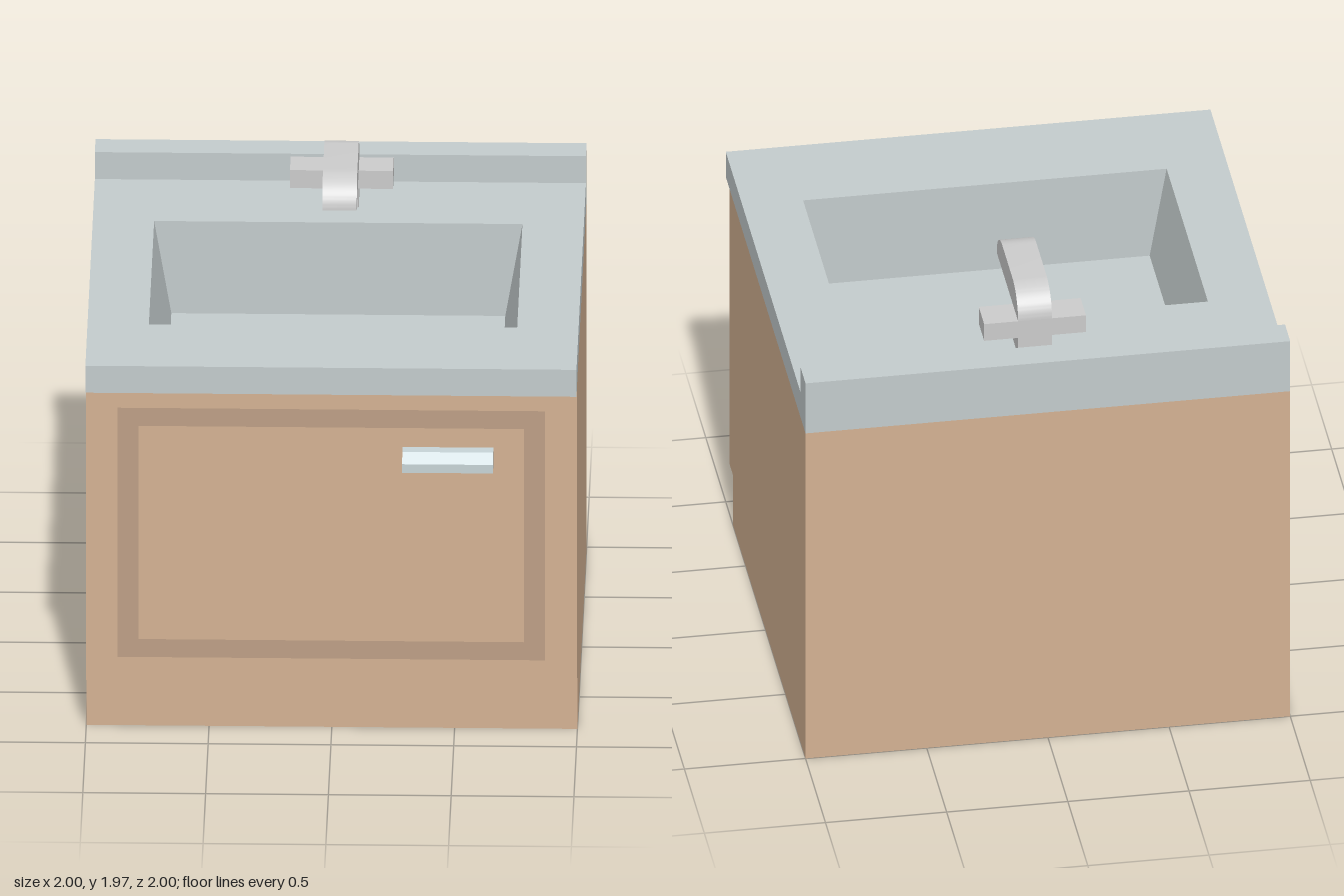
import * as THREE from 'three';
import { toCreasedNormals } from 'three/addons/utils/BufferGeometryUtils.js';

const paint = (color) => new THREE.MeshStandardMaterial({ color });
const wood = paint(0xd3b192);
const trim = paint(0xbd9e85);
const stone = paint(0xc3cbcc);
const metal = paint(0xd6dad8);
const handleMetal = paint(0xc6d3d6);

function part(name, geometry, material) {
  const mesh = new THREE.Mesh(geometry, material);
  mesh.name = name;
  return mesh;
}

// Side outline given as [z, y] points, swept from x0 to x1
function sweep(outline, x0, x1) {
  const shape = outline instanceof THREE.Shape
    ? outline
    : new THREE.Shape(outline.map(([z, y]) => new THREE.Vector2(-z, y)));
  return new THREE.ExtrudeGeometry(shape, { depth: x1 - x0, bevelEnabled: false, curveSegments: 12 })
    .rotateY(Math.PI / 2).translate(x0, 0, 0);
}

// Leaves out the triangles for which drop(corners) is true
function openUp(geometry, drop) {
  const p = geometry.attributes.position;
  const kept = [];
  for (let i = 0; i < p.count; i += 3) {
    const corners = [0, 1, 2].map((k) => new THREE.Vector3().fromBufferAttribute(p, i + k));
    if (!drop(corners)) corners.forEach((c) => kept.push(c));
  }
  const open = new THREE.BufferGeometry().setFromPoints(kept);
  open.computeVertexNormals();
  return open;
}
const level = (corners, y) => corners.every((c) => Math.abs(c.y - y) < 1e-3);

function rect(x0, y0, x1, y1, Type = THREE.Shape) {
  return new Type([[x0, y0], [x1, y0], [x1, y1], [x0, y1]].map(([x, y]) => new THREE.Vector2(x, y)));
}

// Flat rectangle with a rectangular opening
function ring(outer, inner) {
  const shape = rect(...outer);
  shape.holes.push(rect(...inner, THREE.Path));
  return new THREE.ShapeGeometry(shape);
}

// Basin lining: four walls and a floor, facing inward
function basinGeometry(topX, floorX, back, front, topY, floorY) {
  const corners = (x, y) => [[-x, y, front], [x, y, front], [x, y, back], [-x, y, back]]
    .map((c) => new THREE.Vector3(...c));
  const top = corners(topX, topY);
  const low = corners(floorX, floorY);
  const points = [];
  const quad = (a, b, c, d) => points.push(a, b, c, a, c, d);
  quad(...low);
  for (let i = 0; i < 4; i++) {
    const j = (i + 1) % 4;
    quad(low[j], low[i], top[i], top[j]);
  }
  const geometry = new THREE.BufferGeometry().setFromPoints(points);
  geometry.computeVertexNormals();
  return geometry;
}

export function createModel() {
  const model = new THREE.Group();
  model.name = 'sinkCabinet';

  // Cabinet with a recessed kick space, open under the worktop
  const body = sweep([[-1, 0], [-1, 1.56], [0.91, 1.56], [0.91, 0.24], [0.82, 0.24], [0.82, 0]].reverse(), -1, 1);
  model.add(part('cabinetBody', openUp(body, (c) => level(c, 1.56)), wood));

  // Darker band on the door
  const band = ring([-0.87, 0.345, 0.87, 1.455], [-0.785, 0.425, 0.785, 1.375]);
  model.add(part('doorBand', band.translate(0, 0, 0.912), trim));

  // Door handle
  const handle = sweep([[0.91, 1.215], [1, 1.215], [1, 1.253], [0.96, 1.29], [0.91, 1.29]], 0.29, 0.66);
  model.add(part('doorHandle', handle, handleMetal));

  // Worktop edges and splashback, then the deck with the basin opening
  const worktop = sweep([[1, 1.56], [0.91, 1.56], [-1, 1.56], [-1, 1.8], [-0.87, 1.8], [-0.87, 1.68], [1, 1.68]], -1, 1);
  const hidden = (c) => level(c, 1.68) || (level(c, 1.56) && c.some((v) => v.z < 0.9));
  model.add(part('worktopEdge', openUp(worktop, hidden), stone));
  const deck = ring([-1, -1, 1, 0.87], [-0.75, -0.58, 0.75, 0.455]);
  model.add(part('worktopDeck', deck.rotateX(-Math.PI / 2).translate(0, 1.68, 0), stone));
  model.add(part('basin', basinGeometry(0.75, 0.68, -0.455, 0.58, 1.68, 1.27), stone));

  // Tap: column, crossbar and rounded spout
  const tap = new THREE.Group();
  tap.name = 'tap';
  const block = (x0, x1, y0, y1) => sweep([[-0.605, y0], [-0.74, y0], [-0.74, y1], [-0.605, y1]], x0, x1);
  tap.add(part('tapColumn', block(-0.06, 0.08, 1.68, 1.765), metal));
  tap.add(part('tapCrossbar', block(-0.2, 0.22, 1.765, 1.845), metal));
  const spout = new THREE.Shape();
  spout.moveTo(0.205, 1.845);
  spout.lineTo(0.74, 1.845);
  spout.absellipse(0.6, 1.845, 0.14, 0.12, 0, Math.PI / 2);
  spout.lineTo(0.345, 1.965);
  spout.absellipse(0.345, 1.845, 0.14, 0.12, Math.PI / 2, Math.PI);
  tap.add(part('tapSpout', toCreasedNormals(sweep(spout, -0.06, 0.08), 0.6), metal));
  model.add(tap);

  return model;
}
